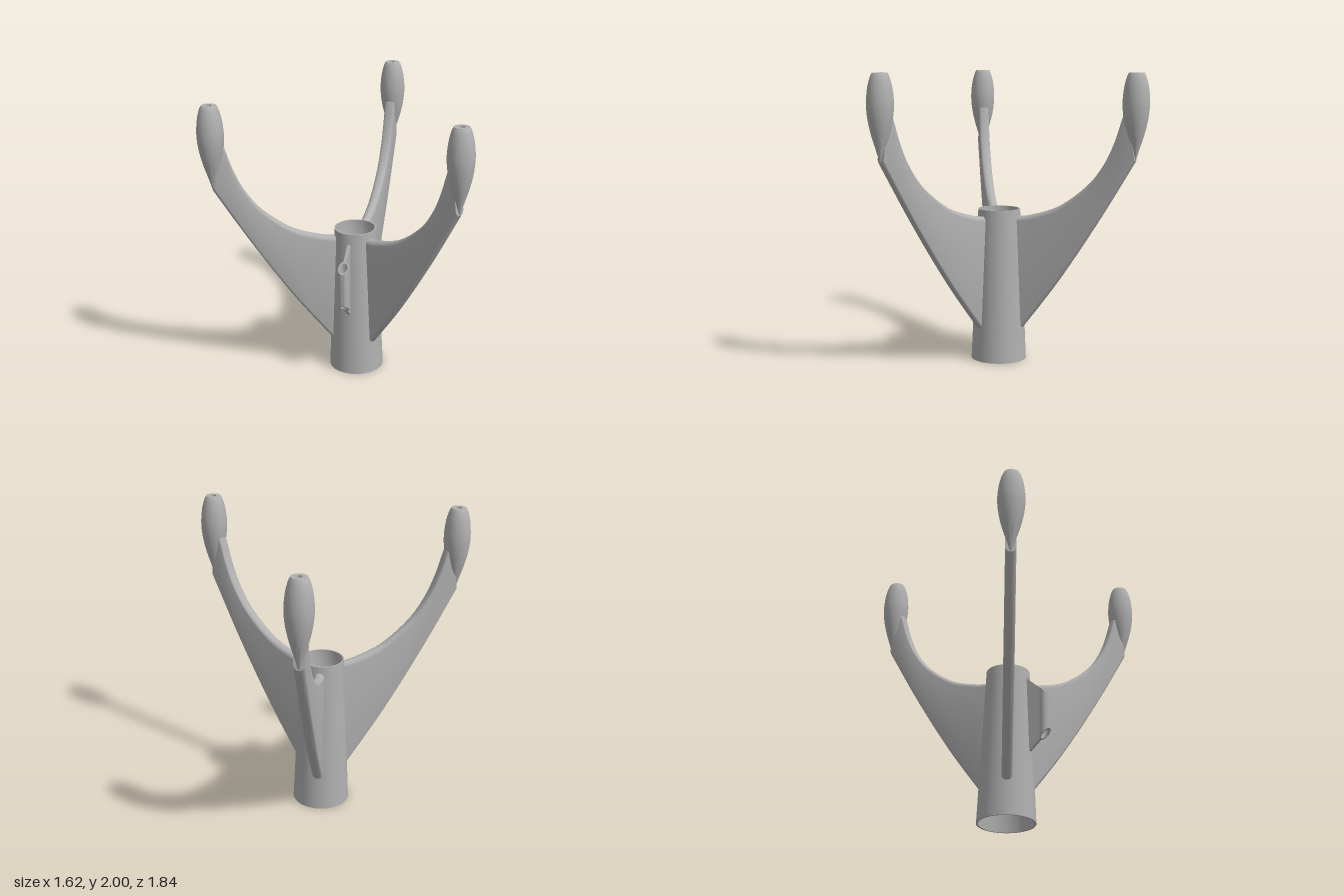
import * as THREE from 'three';
import { toCreasedNormals } from 'three/addons/utils/BufferGeometryUtils.js';

const AXIS_X = -0.24; // centre line of the body tube
const POD_R = 0.96;   // distance of the pods from that line
const HALF = 0.035;   // half thickness of a fin

const v2 = (list) => list.map(([x, y]) => new THREE.Vector2(x, y));
const spin = (points, segments) => new THREE.LatheGeometry(v2(points), segments);

// Swept fin: round-edged sections between a lower and an upper edge curve
function finGeometry() {
  const lower = new THREE.SplineCurve(v2([[0.172, 0.22], [0.44, 0.58], [0.72, 1.01], [0.965, 1.42]]));
  const upper = new THREE.SplineCurve(v2([[0.137, 1.015], [0.24, 1.03], [0.44, 1.1], [0.64, 1.25],
    [0.755, 1.4], [0.825, 1.55], [0.875, 1.71], [0.91, 1.81]]));
  const stations = 40, arc = 10, ring = 2 * (arc + 1);
  const pos = [], index = [];
  for (let i = 0; i <= stations; i++) {
    const L = lower.getPointAt(i / stations), U = upper.getPointAt(i / stations);
    const d = L.clone().sub(U).normalize();
    for (let k = 0; k < ring; k++) {
      const low = k <= arc;
      const a = -Math.PI / 2 + Math.PI * (low ? k : k - 1) / arc;
      const c = low ? L.clone().addScaledVector(d, -HALF) : U.clone().addScaledVector(d, HALF);
      c.addScaledVector(d, HALF * Math.cos(a));
      pos.push(c.x, c.y, HALF * Math.sin(a));
    }
  }
  for (let i = 0; i < stations; i++) {
    for (let k = 0; k < ring; k++) {
      const a = i * ring + k, b = i * ring + (k + 1) % ring;
      index.push(a, a + ring, b, b, a + ring, b + ring);
    }
  }
  const end = stations * ring;
  for (let k = 1; k < ring - 1; k++) index.push(0, k, k + 1, end, end + k + 1, end + k);
  const g = new THREE.BufferGeometry();
  g.setAttribute('position', new THREE.Float32BufferAttribute(pos, 3));
  g.setIndex(index);
  return toCreasedNormals(g, 0.6);
}

// Spindle pod with a flat top and a small socket
function podGeometry() {
  const side = new THREE.SplineCurve(v2([[0.004, 1.42], [0.027, 1.5], [0.058, 1.6], [0.08, 1.7],
    [0.089, 1.8], [0.081, 1.9], [0.064, 1.97], [0.05, 2]])).getPoints(32).map((p) => [p.x, p.y]);
  return toCreasedNormals(spin([[0, 1.42], ...side, [0.02, 2], [0.02, 1.96], [0, 1.96]], 32), 0.6);
}

// Small tube with both ends cut at a slant
const LUG_R = 0.28, LUG_TOP = 0.867, LUG_BOTTOM = 0.563, SLANT = 0.9;
function lugGeometry() {
  const g = spin([[0.037, 0], [0.037, 1], [0.027, 1], [0.027, 0], [0.037, 0]], 28);
  const p = g.attributes.position;
  for (let i = 0; i < p.count; i++) {
    const dx = p.getX(i) * SLANT;
    p.setY(i, p.getY(i) > 0.5 ? LUG_TOP - dx : LUG_BOTTOM + dx);
  }
  return toCreasedNormals(g, 0.6);
}

// Thin web joining the small tube to the body
function webGeometry() {
  const top = (r) => LUG_TOP - SLANT * (r - LUG_R);
  const bottom = (r) => LUG_BOTTOM + SLANT * (r - LUG_R);
  const shape = new THREE.Shape(v2([[0.163, bottom(0.163)], [0.248, bottom(0.248)],
    [0.248, top(0.248)], [0.141, top(0.141)]]));
  const g = new THREE.ExtrudeGeometry(shape, { depth: 0.022, bevelEnabled: false });
  return g.translate(0, 0, -0.011);
}

export function createModel() {
  const model = new THREE.Group();
  model.name = 'finUnit';
  const grey = new THREE.MeshStandardMaterial({ color: 0xb0b0b0 });
  grey.name = 'plain grey';

  const add = (parent, name, geometry) => {
    const mesh = new THREE.Mesh(geometry, grey);
    mesh.name = name;
    parent.add(mesh);
    return mesh;
  };
  const arm = (name, degrees) => {
    const group = new THREE.Group();
    group.name = name;
    group.position.x = AXIS_X;
    group.rotation.y = THREE.MathUtils.degToRad(degrees);
    model.add(group);
    return group;
  };

  // Hollow tapered body, with an inner step low down
  const body = spin([[0.192, 0], [0.145, 1.06], [0.135, 1.06], [0.135, 0.9], [0.117, 0.86],
    [0.117, 0.5], [0.163, 0.3], [0.181, 0], [0.192, 0]], 64);
  add(model, 'bodyTube', toCreasedNormals(body, 0.5)).position.x = AXIS_X;

  // Three fins, each carrying a pod
  const fin = finGeometry(), pod = podGeometry();
  [['left', 0], ['rearRight', 120], ['frontRight', -120]].forEach(([name, degrees]) => {
    const group = arm(name + 'Arm', degrees);
    add(group, name + 'Fin', fin);
    add(group, name + 'Pod', pod).position.x = POD_R;
  });

  // Guide tube between two fins
  const guide = arm('guide', -60);
  add(guide, 'guideTube', lugGeometry()).position.x = LUG_R;
  add(guide, 'guideWeb', webGeometry());

  return model;
}
